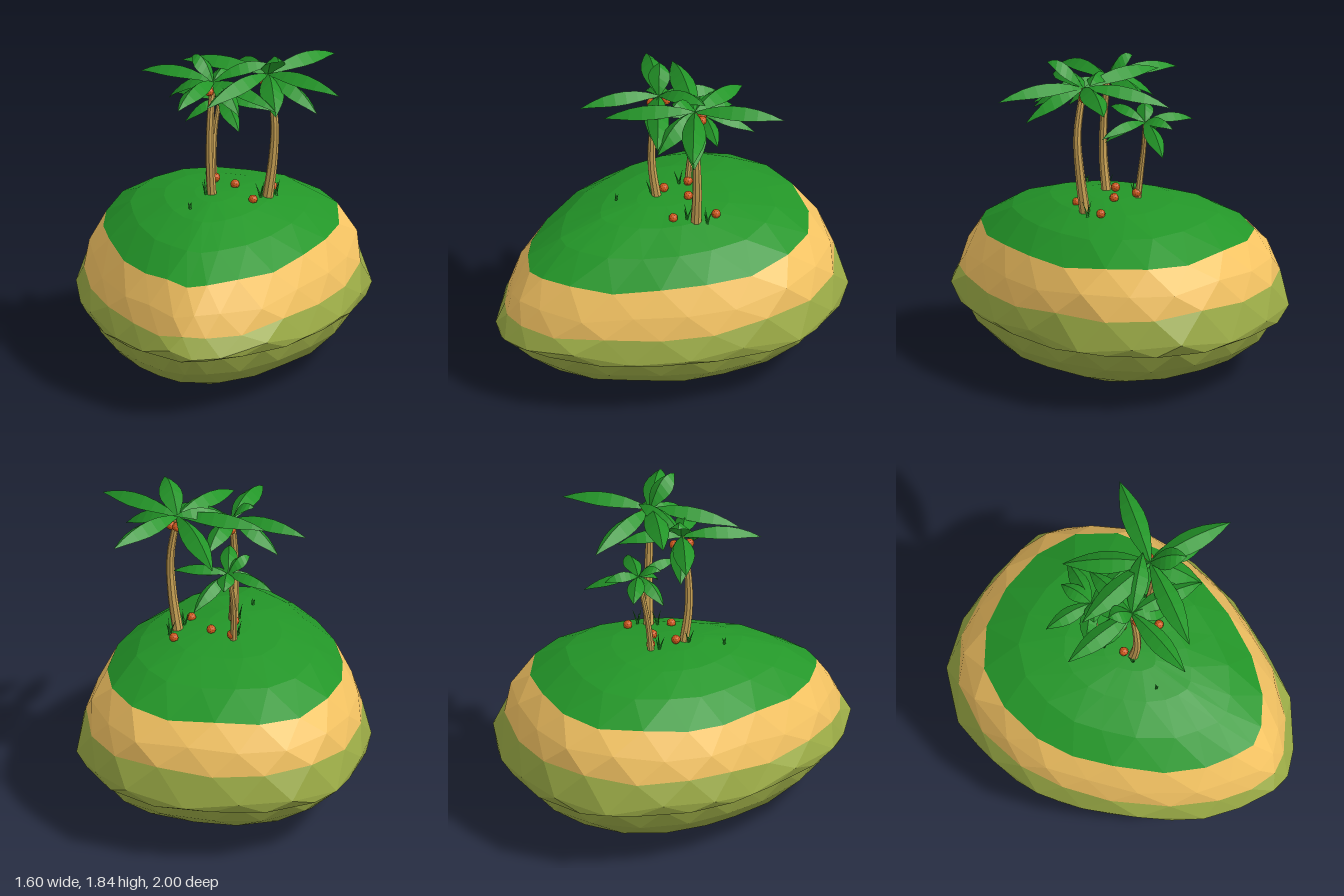
import * as THREE from 'three';

const mat = (color, side = THREE.FrontSide) =>
  new THREE.MeshStandardMaterial({ color, side, flatShading: true, roughness: 1 });
const V = (p) => new THREE.Vector3(...p);

const olive = mat(0x9bab46), sand = mat(0xf5c463), grass = mat(0x239628);
const bark = mat(0xcda556), nut = mat(0xd0591c);
const leaf = mat(0x239628, THREE.DoubleSide);

function add(parent, geometry, material, name) {
  const mesh = new THREE.Mesh(geometry, material);
  mesh.name = name;
  parent.add(mesh);
  return mesh;
}

function geometryFrom(points) {
  const g = new THREE.BufferGeometry().setFromPoints(points);
  g.computeVertexNormals();
  return g;
}

// Egg-shaped shoreline, clockwise from the back: x, z
const shore = [
  [-0.17, -1], [0.14, -1], [0.47, -0.92], [0.66, -0.72], [0.8, -0.45],
  [0.8, -0.1], [0.74, 0.2], [0.6, 0.5], [0.43, 0.77], [0.2, 0.94],
  [0.05, 1], [-0.08, 0.99], [-0.25, 0.88], [-0.42, 0.75], [-0.62, 0.45],
  [-0.73, 0.15], [-0.8, -0.1], [-0.78, -0.4], [-0.68, -0.7], [-0.46, -0.92],
];
const N = shore.length;
const outline = new THREE.CatmullRomCurve3(shore.map(([x, z]) => V([x, 0, z])), true, 'catmullrom', 0.4);

// Cross-section rings from bottom to top: scale, height, tilt along z, waviness
const rings = [
  [0, 0.005, 0, 0], [0.28, 0.022, 0, 0.002], [0.55, 0.072, 0, 0.006], [0.76, 0.145, 0, 0.008],
  [0.875, 0.235, 0, 0.008], [0.93, 0.35, 0, 0], [0.985, 0.352, 0, 0.004], [1, 0.39, -0.01, 0.021],
  [0.95, 0.52, -0.05, 0.01], [0.905, 0.64, -0.06, 0.012], [0.81, 0.775, -0.05, 0.014],
  [0.61, 0.892, -0.05, 0.006], [0.37, 0.965, -0.035, 0.003], [0.15, 0.994, -0.01, 0], [0, 1, 0, 0],
];

function ringPoint(k, j) {
  const [s, y, tilt, wave] = rings[k];
  const u = ((j + (k + 1) * 0.5) / N) % 1;
  const p = outline.getPoint(u).multiplyScalar(s);
  const w = Math.sin(u * Math.PI * 14 + k * 1.3) + 0.5 * Math.sin(u * Math.PI * 26 + k);
  p.y = y + tilt * p.z + wave * w;
  return p;
}

// Triangulated band between rings from..to, staggered half a step per ring
function band(from, to) {
  const pts = [];
  for (let k = from; k < to; k++) {
    for (let j = 0; j < N; j++) {
      const a = ringPoint(k, j), a2 = ringPoint(k, j + 1);
      const b = ringPoint(k + 1, j), b2 = ringPoint(k + 1, j + 1);
      if (rings[k][0] > 0) pts.push(a, b, a2);
      if (rings[k + 1][0] > 0) pts.push(a2, b, b2);
    }
  }
  return geometryFrom(pts);
}

// Tapered trunk along a curve
function trunkGeometry(curve, r0, r1) {
  const steps = 10, sides = 8;
  const g = new THREE.TubeGeometry(curve, steps, 1, sides, false);
  const pos = g.attributes.position, v = new THREE.Vector3();
  for (let i = 0; i < pos.count; i++) {
    const t = Math.floor(i / (sides + 1)) / steps;
    const c = curve.getPointAt(t);
    v.fromBufferAttribute(pos, i).sub(c).multiplyScalar(THREE.MathUtils.lerp(r0, r1, t)).add(c);
    pos.setXYZ(i, v.x, v.y, v.z);
  }
  return g;
}

// Arched leaf blade, folded steeply along its midrib
function frondGeometry(start, end, width, lift) {
  const mid = start.clone().lerp(end, 0.5);
  mid.y += lift;
  const curve = new THREE.QuadraticBezierCurve3(start, mid, end);
  const widths = [0.12, 0.5, 0.82, 1, 1, 0.8, 0.45, 0.02];
  const side = new THREE.Vector3(end.z - start.z, 0, start.x - end.x).normalize();
  const rows = widths.map((w, i) => {
    const c = curve.getPoint(i / (widths.length - 1));
    const edge = (s) => c.clone().addScaledVector(side, s * w * width).add(V([0, -0.8 * w * width, 0]));
    return [edge(1), c, edge(-1)];
  });
  const pts = [];
  for (let i = 0; i < rows.length - 1; i++) {
    for (let s = 0; s < 2; s++) {
      const a = rows[i][s], b = rows[i][s + 1], c = rows[i + 1][s], d = rows[i + 1][s + 1];
      pts.push(a, c, b, b, c, d);
    }
  }
  return geometryFrom(pts);
}

function coconut(parent, p) {
  add(parent, new THREE.IcosahedronGeometry(0.026, 1), nut, 'coconut').position.set(...p);
}

function palm({ name, path, radii, width, lift, tips, nuts }) {
  const tree = new THREE.Group();
  tree.name = name;
  const curve = new THREE.CatmullRomCurve3(path.map(V));
  add(tree, trunkGeometry(curve, ...radii), bark, 'trunk');
  const crown = V(path[path.length - 1]);
  tips.forEach((t) => add(tree, frondGeometry(crown, V(t), width, lift), leaf, 'frond'));
  nuts.forEach((a) => coconut(tree, [crown.x + 0.045 * Math.cos(a), crown.y - 0.045, crown.z + 0.045 * Math.sin(a)]));
  return tree;
}

const palms = [
  {
    name: 'tallPalm', radii: [0.031, 0.018], width: 0.066, lift: 0.13, nuts: [-2.5, -1.6, -0.7],
    path: [[0.28, 0.95, -0.07], [0.315, 1.2, -0.06], [0.325, 1.42, -0.05], [0.285, 1.69, -0.06]],
    tips: [[0.59, 1.69, -0.46], [0.73, 1.67, 0.18], [0.02, 1.62, 0.37], [0.59, 1.53, 0.1],
      [0.04, 1.6, -0.48], [-0.22, 1.7, -0.18], [0.38, 1.83, 0.12], [0.38, 1.54, 0.22]],
  },
  {
    name: 'middlePalm', radii: [0.028, 0.017], width: 0.06, lift: 0.13, nuts: [1.9, -1.6],
    path: [[-0.015, 0.97, 0.02], [-0.02, 1.2, 0.05], [-0.02, 1.42, 0.045], [-0.01, 1.65, 0.01]],
    tips: [[-0.44, 1.64, -0.13], [-0.13, 1.62, 0.44], [-0.28, 1.5, -0.1], [0.38, 1.57, 0.22],
      [0.16, 1.51, 0.15], [0.3, 1.72, -0.12], [0.08, 1.62, -0.33], [-0.14, 1.77, -0.06]],
  },
  {
    name: 'smallPalm', radii: [0.02, 0.012], width: 0.048, lift: 0.1, nuts: [],
    path: [[-0.04, 0.97, -0.18], [-0.045, 1.15, -0.2], [-0.04, 1.3, -0.225], [-0.02, 1.45, -0.25]],
    tips: [[-0.28, 1.43, -0.38], [0.29, 1.42, -0.2], [-0.02, 1.45, -0.45], [0.14, 1.34, -0.51],
      [-0.2, 1.34, -0.17], [0.12, 1.33, -0.08], [-0.13, 1.52, -0.16], [0, 1.5, -0.02]],
  },
];

export function createModel() {
  const model = new THREE.Group();
  model.name = 'palmIsland';

  // Ground: rounded underside with overhanging lip, sand, grass cap
  add(model, band(0, 8), olive, 'rockBase');
  add(model, band(8, 10), sand, 'sandBand');
  add(model, band(10, 14), grass, 'grassCap');

  palms.forEach((p) => model.add(palm(p)));

  // Fallen coconuts
  [[0.22, 0.985, 0.04], [0.29, 0.985, -0.19], [0.09, 1.01, -0.12], [-0.03, 1.02, -0.18], [-0.03, 1.02, -0.03]]
    .forEach((p) => coconut(model, p));

  // Tufts of thin grass blades
  [[0.25, 0.975, -0.03], [-0.045, 0.995, 0.04], [0.32, 0.965, -0.12], [-0.06, 0.995, -0.14], [-0.1, 0.98, 0.23]]
    .forEach(([x, y, z], n) => {
      const tuft = new THREE.Group();
      tuft.name = 'grassTuft';
      tuft.position.set(x, y, z);
      for (let i = 0; i < 3; i++) {
        const a = n + i * 2.1;
        const blade = add(tuft, new THREE.ConeGeometry(0.008, 0.1, 4).translate(0, 0.04, 0), leaf, 'grassBlade');
        blade.rotation.set(0.35 * Math.sin(a), 0, 0.35 * Math.cos(a));
        blade.scale.y = n === 4 ? 0.4 : 1;
      }
      model.add(tuft);
    });

  return model;
}
